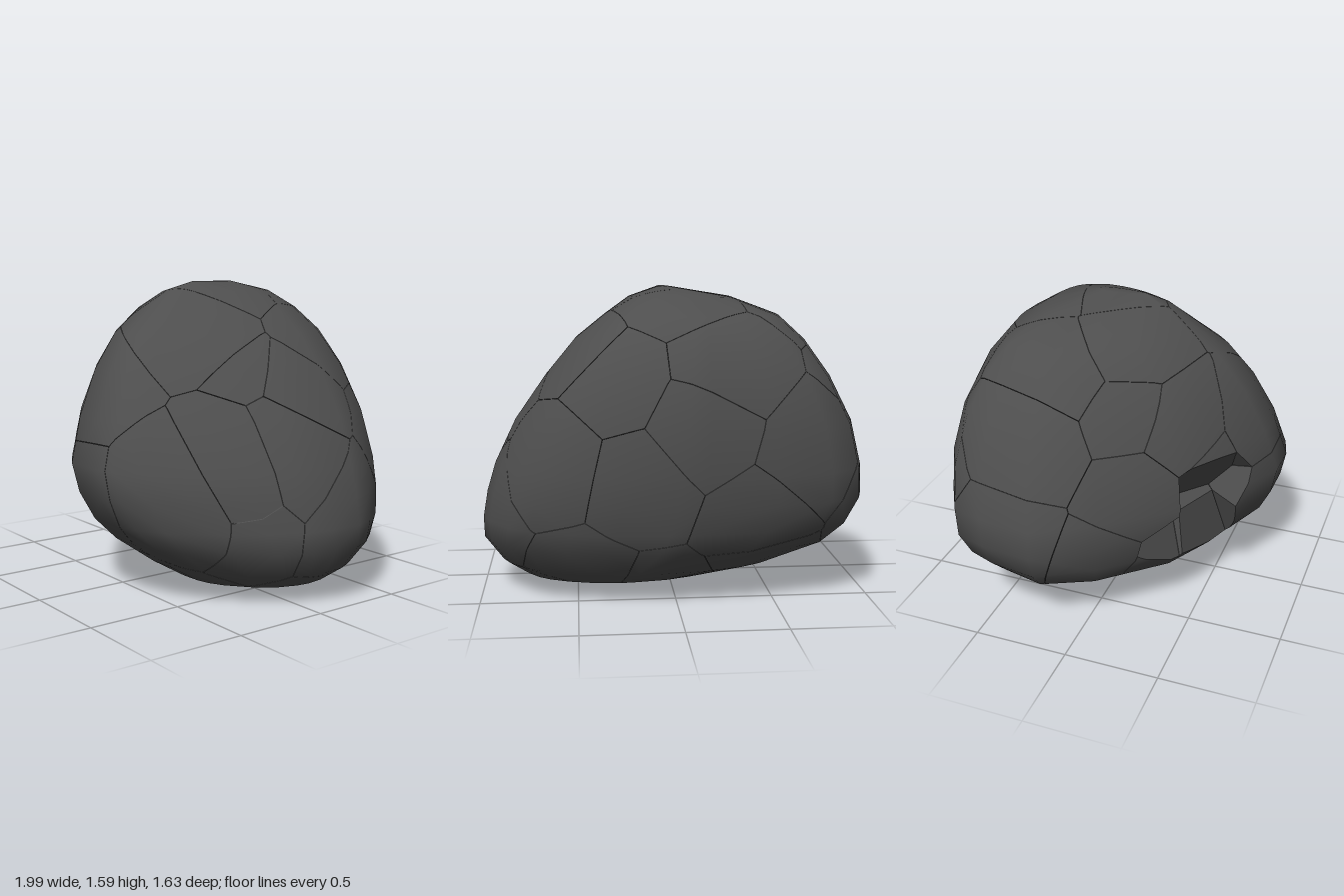
import * as THREE from 'three';
import { ConvexGeometry } from 'three/addons/geometries/ConvexGeometry.js';
import { mergeVertices } from 'three/addons/utils/BufferGeometryUtils.js';

const V = (x, y, z) => new THREE.Vector3(x, y, z);
const GAP = 0.001;
const DEPTH = 0.815;

// plan outline (x, z) at the widest height
const OUTLINE = [
  [-1, -0.18], [-0.97, -0.46], [-0.92, -0.62], [-0.76, -0.71], [-0.47, -0.78], [-0.1, -0.815],
  [0.03, -0.815], [0.3, -0.79], [0.53, -0.74], [0.74, -0.66], [0.86, -0.56], [0.96, -0.4],
  [1, -0.27], [0.985, -0.07], [0.945, 0.07], [0.86, 0.27], [0.72, 0.465], [0.54, 0.685],
  [0.41, 0.78], [0.27, 0.815], [0.06, 0.81], [-0.26, 0.63], [-0.51, 0.46], [-0.81, 0.12]];

// height, x and z extents of the section there, and how far it rounds to an ellipse
const LEVELS = [
  [0, 0.25, 0.4, -0.16, -0.04, 0.6], [0.03, 0, 0.62, -0.28, 0.1, 0.6],
  [0.08, -0.24, 0.8, -0.47, 0.32, 0.6], [0.16, -0.56, 0.91, -0.6, 0.45, 0.5],
  [0.29, -0.86, 1, -0.71, 0.62, 0.3], [0.4, -0.95, 0.995, -0.765, 0.72, 0.12],
  [0.54, -1, 0.965, -0.795, 0.785, 0], [0.69, -0.99, 0.92, -0.815, 0.815, 0],
  [0.92, -0.93, 0.81, -0.81, 0.745, 0], [1.15, -0.81, 0.65, -0.765, 0.635, 0],
  [1.33, -0.68, 0.5, -0.68, 0.5, 0], [1.45, -0.55, 0.35, -0.58, 0.34, 0],
  [1.54, -0.31, 0.22, -0.43, 0.21, 0], [1.59, 0, 0.06, -0.2, 0.06, 0]];

// smooth convex boulder as a list of triangles of {p, n} corners
function boulderFaces() {
  const pts = [];
  for (const [y, x0, x1, z0, z1, round] of LEVELS)
    for (const [x, z] of OUTLINE) {
      const k = THREE.MathUtils.lerp(1, 1 / Math.hypot(x, z / DEPTH), round);
      pts.push(V(THREE.MathUtils.mapLinear(x * k, -1, 1, x0, x1), y,
        THREE.MathUtils.mapLinear(z * k, -DEPTH, DEPTH, z0, z1)));
    }
  let geo = new ConvexGeometry(pts);
  geo.deleteAttribute('normal');
  geo = mergeVertices(geo, 1e-4);
  geo.computeVertexNormals();
  const { position, normal } = geo.attributes, faces = [];
  for (let i = 0; i < geo.index.count; i += 3)
    faces.push([0, 1, 2].map(k => {
      const v = geo.index.getX(i + k);
      return { p: V().fromBufferAttribute(position, v), n: V().fromBufferAttribute(normal, v) };
    }));
  return faces;
}

// cut a convex solid by a plane, keep n.p <= d and close the cut with a flat cap
function cut(faces, n, d) {
  const kept = [], rim = [];
  for (const face of faces) {
    const out = [];
    face.forEach((a, i) => {
      const b = face[(i + 1) % face.length];
      const da = n.dot(a.p) - d, db = n.dot(b.p) - d;
      if (da <= 0) out.push(a);
      if (da <= 0 !== db <= 0) {
        const t = da / (da - db);
        const c = { p: a.p.clone().lerp(b.p, t), n: a.n.clone().lerp(b.n, t).normalize() };
        out.push(c);
        rim.push(c.p);
      }
    });
    if (out.length > 2) kept.push(out);
  }
  if (rim.length > 2) {
    const mid = rim.reduce((s, p) => s.add(p), V(0, 0, 0)).divideScalar(rim.length);
    const u = V(n.y, n.z, -n.x).cross(n).normalize(), w = n.clone().cross(u);
    const angle = p => Math.atan2(p.clone().sub(mid).dot(w), p.clone().sub(mid).dot(u));
    rim.sort((a, b) => angle(a) - angle(b));
    kept.push(rim.map(p => ({ p, n })));
  }
  return kept;
}

function toGeometry(faces) {
  const pos = [], nor = [];
  for (const f of faces)
    for (let i = 1; i < f.length - 1; i++)
      for (const c of [f[0], f[i], f[i + 1]]) {
        pos.push(c.p.x, c.p.y, c.p.z);
        nor.push(c.n.x, c.n.y, c.n.z);
      }
  const geo = new THREE.BufferGeometry();
  geo.setAttribute('position', new THREE.Float32BufferAttribute(pos, 3));
  geo.setAttribute('normal', new THREE.Float32BufferAttribute(nor, 3));
  return geo;
}

// centres of the pieces: missing chips, the stone behind them, and the rest
function pieceCentres() {
  const chips = [V(-0.34, 0.74, 0.56), V(-0.52, 0.41, 0.42), V(-0.34, 0.41, 0.52)];
  const backs = [V(-0.25, 0.85, 0.43), V(-0.45, 0.38, 0.29), V(-0.29, 0.39, 0.38)];
  const solid = [
    V(-0.66, 0.76, 0.28), V(-0.8, 0.45, 0.14), V(-0.48, 0.1, 0.12), V(-0.27, 0.1, 0.27),
    V(0.02, 0.55, 0.74), V(0, 0.98, 0.6), V(-0.36, 1.05, 0.42)];
  let seed = 7;
  const rand = () => (seed = (seed * 16807) % 2147483647) / 2147483647 - 0.5;
  const count = 40, near = [...chips, ...solid];
  for (let i = 0; i < count; i++) {
    const y = 1 - (2 * i + 1) / count, r = Math.sqrt(1 - y * y), a = i * 2.39996;
    const c = V(0.85 * r * Math.cos(a) + 0.3 * rand(), 0.78 + 0.72 * y + 0.25 * rand(),
      0.72 * r * Math.sin(a) - 0.08 + 0.3 * rand());
    if (near.every(s => s.distanceTo(c) > 0.38)) solid.push(c);
  }
  return { chips, solid: [...backs, ...solid] };
}

export function createModel() {
  const group = new THREE.Group();
  group.name = 'crackedBoulder';
  const material = new THREE.MeshStandardMaterial({ color: 0x4e4e4e });
  const whole = boulderFaces();
  const { chips, solid } = pieceCentres();
  const all = [...solid, ...chips];

  // each piece is the boulder cut halfway to every other centre; chips are left out
  solid.forEach((centre, i) => {
    let faces = whole;
    for (const other of all) {
      if (other === centre) continue;
      const n = other.clone().sub(centre).normalize();
      const mid = other.clone().add(centre).multiplyScalar(0.5);
      faces = cut(faces, n, n.dot(mid) - GAP);
    }
    if (!faces.length) return;
    const piece = new THREE.Mesh(toGeometry(faces), material);
    piece.name = `rockPiece${i + 1}`;
    group.add(piece);
  });
  return group;
}
